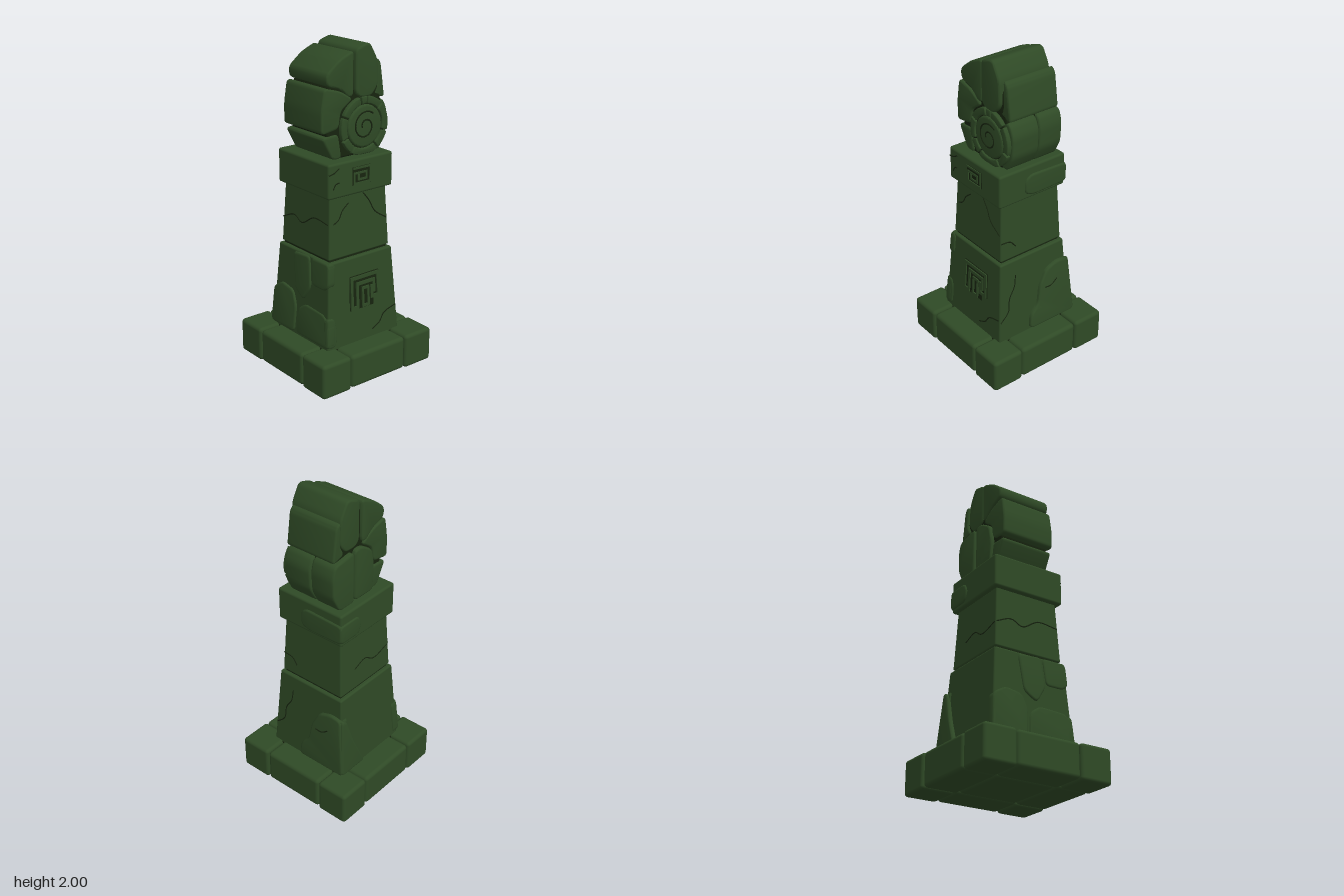
import * as THREE from 'three';
import { toCreasedNormals } from 'three/addons/utils/BufferGeometryUtils.js';
import { RoundedBoxGeometry } from 'three/addons/geometries/RoundedBoxGeometry.js';

const green = new THREE.MeshStandardMaterial({ color: 0x2f4a26 });
const dark = new THREE.MeshStandardMaterial({ color: 0x17240f });

// Directions a wall can face (turn about y)
const FRONT = 0, RIGHT = Math.PI / 2, BACK = Math.PI, LEFT = -Math.PI / 2;

// Inward lean of each storey: [start height, shrink per unit of height]
const LOWER = [0.22, 0.236], MIDDLE = [0.76, 0.206], NONE = [0, 0];

function lean(geo, [y0, k]) {
  const p = geo.attributes.position;
  for (let i = 0; i < p.count; i++) {
    const s = 1 - k * (p.getY(i) - y0);
    p.setXYZ(i, p.getX(i) * s, p.getY(i), p.getZ(i) * s);
  }
  return geo;
}

// Closed polygon with rounded corners
function roundedShape(pts, r) {
  const v = pts.map(([x, y]) => new THREE.Vector2(x, y));
  const shape = new THREE.Shape();
  v.forEach((c, i) => {
    const a = v[(i + v.length - 1) % v.length], b = v[(i + 1) % v.length];
    const toward = (q) => c.clone().lerp(q, Math.min(0.45, r / c.distanceTo(q)));
    const s = toward(a), e = toward(b);
    if (i) shape.lineTo(s.x, s.y); else shape.moveTo(s.x, s.y);
    shape.quadraticCurveTo(c.x, c.y, e.x, e.y);
  });
  shape.closePath();
  return shape;
}

export function createModel() {
  const model = new THREE.Group();
  model.name = 'stonePillar';

  const add = (name, geo, mat = green) => {
    const mesh = new THREE.Mesh(geo, mat);
    mesh.name = name;
    model.add(mesh);
    return mesh;
  };

  // Stone with an outline drawn on one wall, reaching "out" from the axis
  function slab(name, face, pts, out, depth, { tilt = NONE, r = 0.03, bevel = 0.012, mat = green } = {}) {
    const geo = new THREE.ExtrudeGeometry(roundedShape(pts, r), {
      depth: depth - 2 * bevel, bevelThickness: bevel, bevelSize: bevel,
      bevelOffset: -bevel, bevelSegments: 3, curveSegments: 5,
    });
    geo.translate(0, 0, out - depth + bevel).rotateY(face);
    add(name, toCreasedNormals(lean(geo, tilt), 0.7), mat);
  }

  // Block given by its x, y and z limits
  function block(name, [x0, x1], [y0, y1], [z0, z1], radius, tilt = NONE, mat = green) {
    const geo = new RoundedBoxGeometry(x1 - x0, y1 - y0, z1 - z0, 3, radius);
    geo.translate((x0 + x1) / 2, (y0 + y1) / 2, (z0 + z1) / 2);
    add(name, lean(geo, tilt), mat);
  }

  // Thin dark line following points on a wall
  function crack(face, pts, out, tilt = NONE, radius = 0.004) {
    const curve = new THREE.CatmullRomCurve3(pts.map(([u, v]) => new THREE.Vector3(u, v, out)));
    const geo = new THREE.TubeGeometry(curve, pts.length * 6, radius, 5);
    add('crack', lean(geo.rotateY(face), tilt), dark);
  }

  // Right-angled raised strokes
  function meander(pts, out, width, tilt = NONE) {
    for (let i = 1; i < pts.length; i++) {
      const [a, b] = pts[i - 1], [c, d] = pts[i];
      const geo = new THREE.BoxGeometry(Math.abs(c - a) + width, Math.abs(d - b) + width, 0.03);
      geo.translate((a + c) / 2, (b + d) / 2, out - 0.015);
      add('meanderStroke', lean(geo, tilt));
    }
  }

  // Base: corner stones, side stones and a middle stone
  for (const s of [-1, 1]) {
    const span = (a, b) => (s > 0 ? [a, b] : [-b, -a]);
    for (const t of [-1, 1]) {
      block('baseCorner', span(0.213, 0.425), [0, 0.217], t > 0 ? [0.213, 0.425] : [-0.425, -0.213], 0.022);
    }
    block('baseSide', span(0.2, 0.422), [0.004, 0.215], [-0.209, 0.209], 0.024);
    block('baseSide', [-0.209, 0.209], [0.004, 0.215], span(0.2, 0.422), 0.024);
  }
  block('baseMiddle', [-0.197, 0.197], [0.004, 0.2], [-0.197, 0.197], 0.024);
  block('baseFill', [-0.28, 0.28], [0.03, 0.214], [-0.28, 0.28], 0.01, NONE, dark);

  // Lower storey and its patched stones
  block('lowerShaft', [-0.278, 0.278], [0.2, 0.752], [-0.278, 0.278], 0.012, LOWER);
  const low = { tilt: LOWER };
  slab('cornerSlabSide', RIGHT, [[-0.05, 0.225], [-0.04, 0.32], [0.02, 0.38], [0.04, 0.5], [0.1, 0.6],
    [0.2, 0.63], [0.285, 0.62], [0.302, 0.225]], 0.302, 0.08, low);
  slab('cornerSlabBack', BACK, [[-0.302, 0.225], [-0.29, 0.62], [-0.24, 0.6], [-0.17, 0.42], [-0.08, 0.225]], 0.302, 0.08, low);
  slab('leftStone', LEFT, [[-0.285, 0.225], [-0.285, 0.46], [-0.2, 0.51], [-0.08, 0.49], [-0.04, 0.4], [-0.05, 0.225]], 0.292, 0.06, low);
  slab('leftStone', LEFT, [[-0.035, 0.225], [-0.025, 0.39], [0.05, 0.44], [0.24, 0.43], [0.285, 0.38], [0.285, 0.225]], 0.286, 0.06, low);
  slab('leftStone', LEFT, [[-0.06, 0.51], [-0.1, 0.74], [0.08, 0.75], [0.1, 0.56], [0.03, 0.46]], 0.29, 0.06, low);
  slab('leftStone', LEFT, [[0.11, 0.58], [0.095, 0.75], [0.285, 0.75], [0.285, 0.61], [0.24, 0.58]], 0.287, 0.06, low);
  slab('frontCornerStone', FRONT, [[-0.286, 0.225], [-0.286, 0.42], [-0.23, 0.41], [-0.21, 0.34], [-0.215, 0.225]], 0.284, 0.05, low);
  slab('frontCornerStone', FRONT, [[-0.286, 0.61], [-0.286, 0.75], [-0.235, 0.75], [-0.23, 0.64]], 0.284, 0.05, low);
  crack(FRONT, [[0.07, 0.26], [0.13, 0.29], [0.17, 0.34], [0.27, 0.37]], 0.278, LOWER);
  crack(RIGHT, [[-0.27, 0.35], [-0.21, 0.41], [-0.2, 0.5], [-0.16, 0.57], [-0.15, 0.65]], 0.278, LOWER);
  crack(RIGHT, [[0.08, 0.48], [0.13, 0.48], [0.18, 0.51]], 0.302, LOWER);

  // Lower carved panel
  const carving = [[-0.105, 0.42], [-0.105, 0.635], [0.145, 0.635], [0.145, 0.46], [0.09, 0.46], [0.09, 0.42]];
  slab('carvedPanel', FRONT, carving, 0.281, 0.03, { tilt: LOWER, r: 0.003, bevel: 0.001, mat: dark });
  meander([[-0.09, 0.434], [-0.09, 0.62], [0.13, 0.62], [0.13, 0.475], [0.075, 0.475], [0.075, 0.54]], 0.289, 0.02, LOWER);
  meander([[-0.09, 0.434], [-0.045, 0.434], [-0.045, 0.58], [0.095, 0.58], [0.095, 0.51]], 0.289, 0.02, LOWER);
  meander([[0, 0.434], [0, 0.545], [0.045, 0.545], [0.045, 0.434], [0, 0.434]], 0.289, 0.016, LOWER);

  // Middle storey
  block('storeyJoint', [-0.22, 0.22], [0.74, 0.775], [-0.22, 0.22], 0.005, NONE, dark);
  block('middleShaft', [-0.231, 0.231], [0.764, 1.15], [-0.231, 0.231], 0.01, MIDDLE);
  crack(FRONT, [[-0.2, 0.98], [-0.16, 1.0], [-0.13, 1.05], [-0.08, 1.09]], 0.231, MIDDLE);
  crack(FRONT, [[0.04, 1.13], [0.09, 1.07], [0.13, 1.0], [0.22, 0.94]], 0.231, MIDDLE);
  crack(RIGHT, [[-0.23, 0.89], [-0.16, 0.88], [-0.12, 0.84]], 0.231, MIDDLE);
  crack(BACK, [[-0.1, 0.9], [0, 0.93], [0.08, 0.89], [0.22, 0.92]], 0.231, MIDDLE);
  crack(LEFT, [[-0.23, 0.92], [-0.12, 0.96], [-0.04, 0.93], [0.08, 0.99], [0.22, 0.98]], 0.231, MIDDLE);

  // Capital with a patched back corner
  block('capital', [-0.243, 0.24], [1.142, 1.352], [-0.24, 0.243], 0.014);
  slab('capitalPatch', RIGHT, [[-0.06, 1.18], [-0.06, 1.27], [-0.02, 1.3], [0.248, 1.29], [0.248, 1.165], [0, 1.16]], 0.25, 0.05);
  slab('capitalPatch', BACK, [[-0.248, 1.165], [-0.248, 1.29], [-0.09, 1.29], [-0.06, 1.23], [-0.09, 1.165]], 0.248, 0.05);
  crack(FRONT, [[-0.24, 1.29], [-0.2, 1.3], [-0.165, 1.32]], 0.242);
  crack(FRONT, [[-0.21, 1.2], [-0.19, 1.23], [-0.165, 1.235]], 0.242);
  block('capitalPanel', [-0.068, 0.072], [1.198, 1.308], [0.22, 0.245], 0.002, NONE, dark);
  meander([[-0.025, 1.255], [-0.025, 1.23], [0.033, 1.23], [0.033, 1.27], [-0.056, 1.27],
    [-0.056, 1.207], [0.063, 1.207], [0.063, 1.3], [-0.06, 1.3]], 0.25, 0.012);

  // Head: dark core seen in the joints, and stones running front to back
  slab('headCore', FRONT, [[-0.14, 1.35], [-0.2, 1.5], [-0.2, 1.72], [-0.15, 1.85], [0.08, 1.95],
    [0.17, 1.84], [0.22, 1.6], [0.17, 1.35]], 0.165, 0.33, { mat: dark });
  const headStones = [
    ['topLeftStone', [[-0.2, 1.785], [-0.205, 1.85], [-0.11, 1.925], [-0.005, 1.97], [-0.005, 1.71], [-0.04, 1.7], [-0.1, 1.755]], 0.178, 0.36],
    ['topStone', [[0.003, 1.72], [0.003, 1.975], [0.105, 2.005], [0.165, 1.9], [0.17, 1.75], [0.12, 1.69], [0.04, 1.69]], 0.188, 0.36],
    ['topRightStone', [[0.175, 1.75], [0.17, 1.905], [0.208, 1.88], [0.24, 1.66], [0.14, 1.692]], 0.165, 0.345],
    ['leftCheekStone', [[-0.243, 1.51], [-0.243, 1.64], [-0.22, 1.778], [-0.1, 1.745], [-0.01, 1.69], [-0.1, 1.63], [-0.115, 1.53]], 0.18, 0.36],
    ['lowLeftStone', [[-0.235, 1.49], [-0.16, 1.35], [-0.09, 1.35], [-0.115, 1.5]], 0.175, 0.35],
    ['rightFrontStone', [[0.2, 1.35], [0.1, 1.38], [0.1, 1.67], [0.23, 1.655], [0.262, 1.58], [0.255, 1.45]], 0.165, 0.19],
    ['rightBackStone', [[0.2, 1.35], [0.07, 1.35], [0.07, 1.68], [0.235, 1.655], [0.258, 1.58], [0.252, 1.45]], -0.03, 0.165],
    ['backStone', [[-0.105, 1.35], [-0.115, 1.52], [-0.09, 1.63], [0, 1.685], [0.06, 1.68], [0.06, 1.35]], 0.1, 0.29],
  ];
  for (const [name, pts, out, depth] of headStones) slab(name, FRONT, pts, out, depth);

  // Carved disc: broken outer ring, inner plate and spiral
  const cx = 0.07, cy = 1.52;
  const polar = (r, a) => [cx + r * Math.cos(a), Math.max(1.353, cy + r * Math.sin(a))];
  const circle = (r, n) => Array.from({ length: n }, (_, i) => polar(r, (i * 2 * Math.PI) / n));
  slab('discBacking', FRONT, circle(0.165, 24), 0.176, 0.1, { mat: dark });
  const cuts = [-0.3, 0.75, 1.45, 1.75, 2.7, 3.55, 4.1, 5.3, 2 * Math.PI - 0.3];
  for (let i = 1; i < cuts.length; i++) {
    const a = cuts[i - 1] + 0.03, b = cuts[i] - 0.03, n = 6;
    const arc = (r) => Array.from({ length: n + 1 }, (_, k) => polar(r, a + ((b - a) * k) / n));
    slab('ringStone', FRONT, [...arc(0.176), ...arc(0.132).reverse()], 0.19, 0.05, { r: 0.006, bevel: 0.006 });
  }
  slab('discPlate', FRONT, circle(0.127, 24), 0.19, 0.05, { r: 0.01 });
  const spiral = Array.from({ length: 22 }, (_, i) => polar(0.022 + 0.0033 * i, 3.4 - i * 0.42));
  crack(FRONT, spiral, 0.19, NONE, 0.005);

  return model;
}
